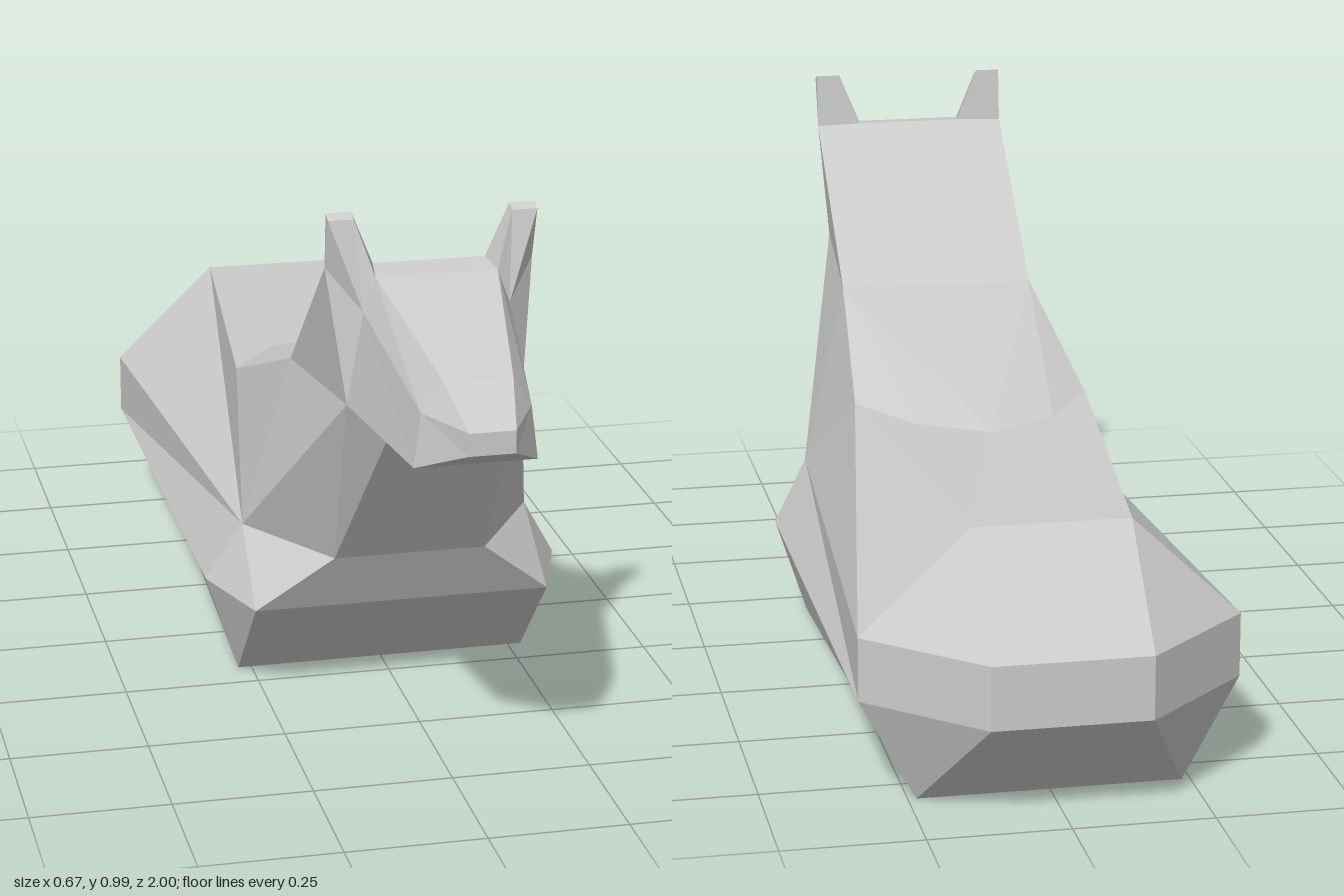
import * as THREE from 'three';

// Corner points of the model's left half (+x); a trailing ' means the mirrored point.
const P = {
  // torso
  frontFoot: [0.275, 0, 0.18], rearFoot: [0.235, 0, -0.82],
  flankFront: [0.335, 0.185, 0.18], flankRear: [0.335, 0.185, -0.82],
  hip: [0.335, 0.3, -0.82], rump: [0.14, 0.485, -0.82],
  tailHigh: [0.14, 0.3, -1], tailLow: [0.14, 0.185, -1],
  knee: [0.275, 0.185, 0.36], shoulder: [0.27, 0.3, 0.21], chest: [0.14, 0.3, 0.42],
  // neck
  back: [0.22, 0.5, -0.1], arc: [0.13, 0.494, -0.23], spine: [0, 0.49, -0.3],
  nape: [0.185, 0.63, 0.25], poll: [0.185, 0.89, 0.55], jaw: [0.157, 0.655, 0.6],
  throat: [0.08, 0.65, 0.66],
  // head and ears
  temple: [0.13, 0.825, 0.61], brow: [0.108, 0.885, 0.61], crown: [0.1, 0.893, 0.55],
  bridge: [0.06, 0.79, 0.9], cheek: [0.095, 0.733, 0.89], chin: [0.107, 0.637, 0.89],
  noseTop: [0.04, 0.73, 1], noseLow: [0.04, 0.69, 1],
  tipBackOut: [0.185, 0.99, 0.56], tipBackIn: [0.14, 0.99, 0.56],
  tipFrontOut: [0.185, 0.982, 0.58], tipFrontIn: [0.14, 0.982, 0.58],
};

function point(name) {
  const [x, y, z] = P[name.replace("'", '')];
  return new THREE.Vector3(name.endsWith("'") ? -x : x, y, z);
}

const flip = (n) => (n.endsWith("'") ? n.slice(0, -1) : n + "'");
const mirrorFace = (face) => face.split(' ').map(flip).join(' ');
const withMirror = (faces) => [...faces, ...faces.map(mirrorFace)];

// Flat-shaded mesh from named faces, each turned to face away from an inner point
function facetMesh(name, inner, faces) {
  const centre = new THREE.Vector3(...inner);
  const positions = [];
  for (const face of faces) {
    const v = face.split(' ').map(point);
    for (let i = 1; i < v.length - 1; i++) {
      const tri = new THREE.Triangle(v[0], v[i], v[i + 1]);
      const outward = tri.getNormal(new THREE.Vector3()).dot(v[0].clone().sub(centre)) > 0;
      const order = outward ? [tri.a, tri.b, tri.c] : [tri.a, tri.c, tri.b];
      order.forEach((p) => positions.push(p.x, p.y, p.z));
    }
  }
  const geometry = new THREE.BufferGeometry();
  geometry.setAttribute('position', new THREE.Float32BufferAttribute(positions, 3));
  geometry.computeVertexNormals();
  const mesh = new THREE.Mesh(geometry,
    new THREE.MeshStandardMaterial({ color: 0xcccccc, flatShading: true }));
  mesh.name = name;
  return mesh;
}

export function createModel() {
  const model = new THREE.Group();
  model.name = 'lyingAnimal';

  // Resting torso with bevelled rump and chest ledge
  model.add(facetMesh('torso', [0, 0.25, -0.3], [
    ...withMirror([
      'shoulder knee chest',
      'shoulder flankFront knee',
      'knee flankFront frontFoot',
      'flankFront frontFoot rearFoot flankRear',
      'shoulder flankFront flankRear hip',
      'back arc rump',
      'arc spine rump',
      'rump hip tailHigh',
      'hip flankRear tailLow tailHigh',
      'flankRear rearFoot tailLow',
    ]),
    // the two upper flanks fold along different diagonals
    'hip rump back', 'hip back shoulder',
    "shoulder' hip' rump'", "shoulder' rump' back'",
    "spine rump rump'",
    "knee knee' chest' chest",
    "knee frontFoot frontFoot' knee'",
    "rump rump' tailHigh' tailHigh",
    "tailHigh tailHigh' tailLow' tailLow",
    "tailLow tailLow' rearFoot' rearFoot",
    "frontFoot frontFoot' rearFoot' rearFoot",
  ]));

  // Neck rising from the back to the poll
  model.add(facetMesh('neck', [0, 0.55, 0.3], [
    ...withMirror([
      'nape back shoulder',
      'nape shoulder jaw',
      'nape jaw poll',
      'poll jaw temple',
      'nape spine arc',
      'nape arc back',
      'jaw shoulder chest throat',
      'nape poll crown',
    ]),
    "nape nape' spine",
    "nape crown crown' nape'",
    "throat chest chest' throat'",
  ]));

  // Wedge-shaped head with a blunt nose
  model.add(facetMesh('head', [0, 0.73, 0.75], [
    ...withMirror([
      'brow temple cheek bridge',
      'bridge cheek noseTop',
      'temple jaw chin cheek',
      'cheek chin noseLow noseTop',
      'jaw throat chin',
    ]),
    "brow brow' crown' crown",
    "brow brow' bridge' bridge",
    "bridge bridge' noseTop' noseTop",
    "noseTop noseTop' noseLow' noseLow",
    "chin chin' noseLow' noseLow",
    "throat throat' chin' chin",
  ]));

  // Ears
  const ear = [
    'poll temple tipFrontOut tipBackOut',
    'temple brow tipFrontIn tipFrontOut',
    'brow crown tipBackIn tipFrontIn',
    'poll tipBackOut tipBackIn crown',
    'tipBackOut tipFrontOut tipFrontIn tipBackIn',
  ];
  model.add(facetMesh('leftEar', [0.145, 0.91, 0.57], ear));
  model.add(facetMesh('rightEar', [-0.145, 0.91, 0.57], ear.map(mirrorFace)));

  return model;
}
